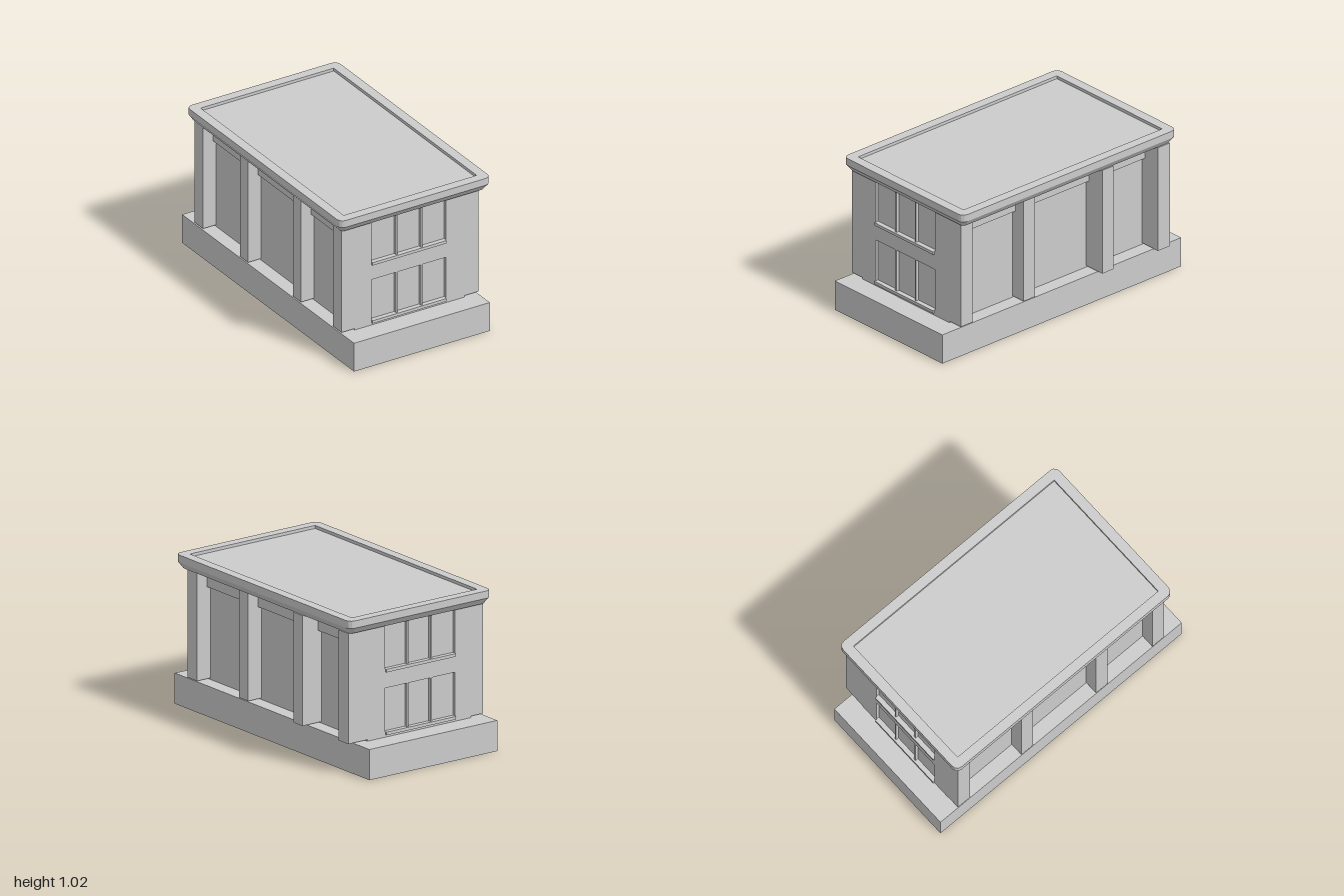
import * as THREE from 'three';

const mat = new THREE.MeshStandardMaterial({ color: 0xcccccc, flatShading: true, side: THREE.DoubleSide });

function add(parent, name, geometry) {
  const mesh = new THREE.Mesh(geometry, mat);
  mesh.name = name;
  parent.add(mesh);
  return mesh;
}

// Box given by its low and high corners
function box(parent, name, x0, x1, y0, y1, z0, z1) {
  const mesh = add(parent, name, new THREE.BoxGeometry(x1 - x0, y1 - y0, z1 - z0));
  mesh.position.set((x0 + x1) / 2, (y0 + y1) / 2, (z0 + z1) / 2);
  return mesh;
}

function trace(path, x0, x1, y0, y1) {
  path.moveTo(x0, y0).lineTo(x1, y0).lineTo(x1, y1).lineTo(x0, y1).closePath();
  return path;
}

// Closed rounded-rectangle outline at one height
function outline(hx, hz, r, y, steps = 3) {
  const pts = [];
  const corners = [[1, 1], [-1, 1], [-1, -1], [1, -1]];
  corners.forEach(([sx, sz], q) => {
    for (let i = 0; i <= steps; i++) {
      const a = (q + i / steps) * Math.PI / 2;
      pts.push([sx * (hx - r) + r * Math.cos(a), y, sz * (hz - r) + r * Math.sin(a)]);
    }
  });
  return pts;
}

// Loft through rings of equal point count, closed by flat caps
function loft(rings) {
  const pos = [], index = [], n = rings[0].length;
  rings.forEach(ring => ring.forEach(p => pos.push(...p)));
  for (let k = 0; k < rings.length - 1; k++) {
    for (let i = 0; i < n; i++) {
      const a = k * n + i, b = k * n + (i + 1) % n;
      index.push(a, a + n, b, b, a + n, b + n);
    }
  }
  const last = (rings.length - 1) * n;
  for (let i = 1; i < n - 1; i++) {
    index.push(0, i, i + 1);
    index.push(last, last + i + 1, last + i);
  }
  const g = new THREE.BufferGeometry();
  g.setAttribute('position', new THREE.Float32BufferAttribute(pos, 3));
  g.setIndex(index);
  const flat = g.toNonIndexed();
  flat.computeVertexNormals();
  return flat;
}

// End wall with two rows of three recessed windows and their sills
function endWall(side) {
  const group = new THREE.Group();
  group.name = side > 0 ? 'frontWall' : 'backWall';
  const shape = trace(new THREE.Shape(), -0.425, 0.385, 0.2, 0.93);
  const columns = [[-0.3, -0.12], [-0.107, 0.063], [0.075, 0.248]];
  const rows = [[0.235, 0.52], [0.645, 0.929]];
  for (const [y0, y1] of rows) {
    for (const [x0, x1] of columns) shape.holes.push(trace(new THREE.Path(), x0, x1, y0, y1));
    const z = [0.85 * side, 0.867 * side].sort((a, b) => a - b);
    box(group, 'windowSill', -0.3, 0.245, y0 - 0.02, y0, z[0], z[1]);
  }
  const face = add(group, 'windowWall', new THREE.ExtrudeGeometry(shape, { depth: 0.02, bevelEnabled: false }));
  face.position.z = side > 0 ? 0.835 : -0.855;
  const back = box(group, 'windowPanes', -0.425, 0.385, 0.2, 0.93, 0.8, 0.835);
  back.position.z *= side;
  return group;
}

export function createModel() {
  const model = new THREE.Group();
  model.name = 'building';

  // Plinth: a hollow rectangular frame
  const frame = trace(new THREE.Shape(), -0.52, 0.48, -1, 1);
  frame.holes.push(trace(new THREE.Path(), -0.32, 0.28, -0.8, 0.8));
  const plinth = new THREE.ExtrudeGeometry(frame, { depth: 0.2, bevelEnabled: false });
  add(model, 'plinth', plinth.rotateX(-Math.PI / 2));

  // Walls
  model.add(endWall(1), endWall(-1));
  box(model, 'leftWall', 0.28, 0.385, 0.2, 0.93, -0.8, 0.8);
  box(model, 'rightWall', -0.425, -0.32, 0.2, 0.93, -0.8, 0.8);

  // Lintel beams over the side bays
  box(model, 'leftLintel', 0.385, 0.412, 0.81, 0.93, -0.77, 0.77);
  box(model, 'rightLintel', -0.447, -0.425, 0.81, 0.93, -0.77, 0.77);

  // Pillars: [inner x, outer x, low z, high z]
  const pillars = [
    [0.385, 0.49, 0.757, 0.855], [0.385, 0.49, 0.233, 0.328],
    [0.385, 0.535, -0.383, -0.29], [0.385, 0.535, -0.855, -0.757],
    [-0.52, -0.425, 0.757, 0.855], [-0.52, -0.425, 0.29, 0.383],
    [-0.52, -0.425, -0.328, -0.233], [-0.52, -0.425, -0.855, -0.757],
  ];
  for (const [x0, x1, z0, z1] of pillars) box(model, 'pillar', x0, x1, 0.21, 0.93, z0, z1);

  // Cornice with a flared underside and a sunken roof deck
  add(model, 'roof', loft([
    outline(0.527, 0.867, 0.025, 0.93),
    outline(0.555, 0.897, 0.04, 0.972),
    outline(0.555, 0.897, 0.04, 1.02),
    outline(0.49, 0.832, 0, 1.02),
    outline(0.49, 0.832, 0, 1.0),
  ]));
  return model;
}
